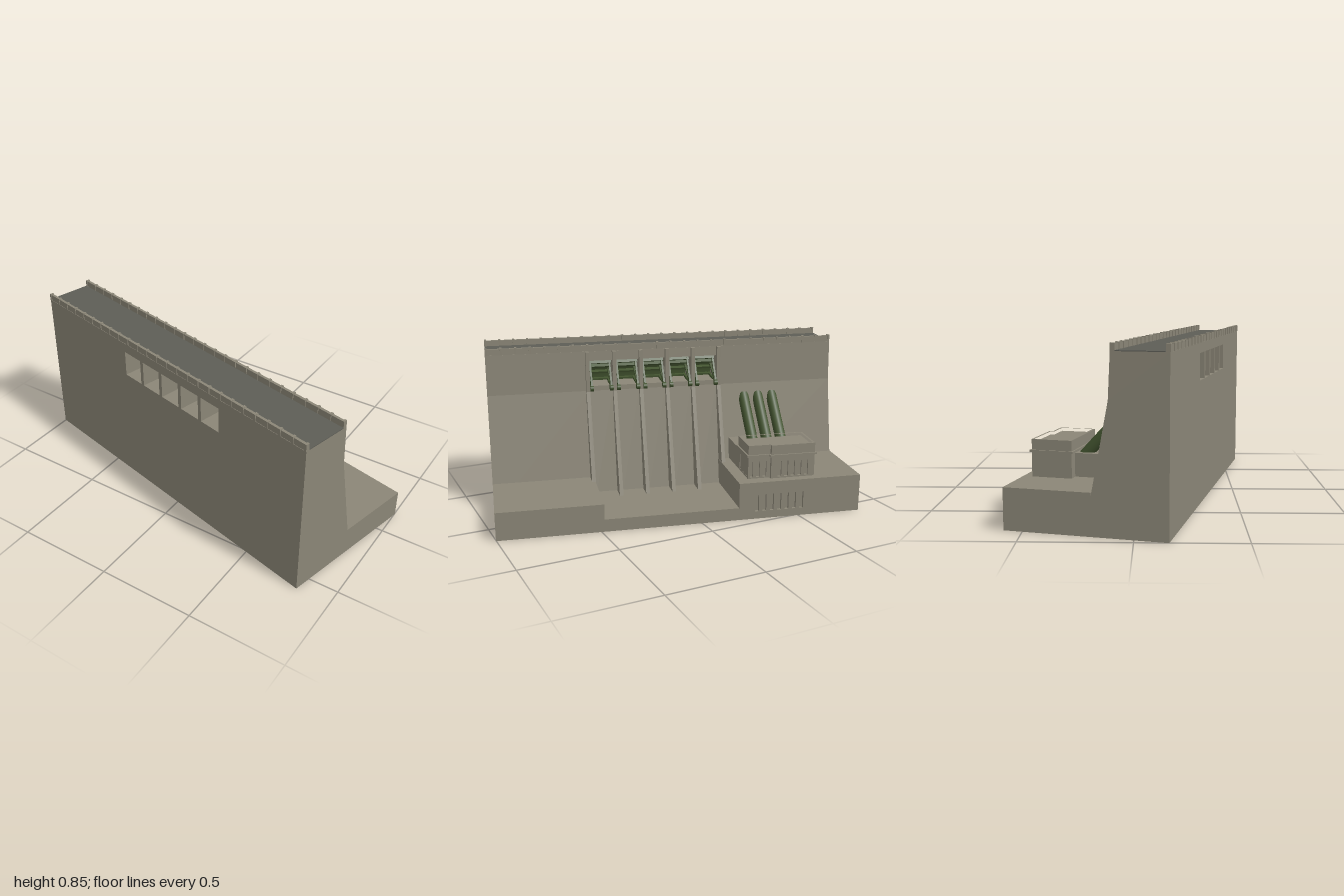
import * as THREE from 'three';

const mat = (name, color) => Object.assign(new THREE.MeshStandardMaterial({ color }), { name });

export function createModel() {
  const concrete = mat('concrete', 0x8b8677);
  const asphalt = mat('asphalt', 0x5d5d56);
  const green = mat('greenSteel', 0x42532f);
  const greenOpen = mat('greenSteelPlate', 0x42532f);
  greenOpen.side = THREE.DoubleSide;

  const root = new THREE.Group();
  root.name = 'dam';
  const body = new THREE.Group();
  body.name = 'damAssembly';
  body.rotation.y = -0.2334; // the dam stands askew to the axes
  root.add(body);

  const add = (name, geo, m = concrete) => {
    const mesh = new THREE.Mesh(geo, m);
    mesh.name = name;
    body.add(mesh);
    return mesh;
  };
  // box given by its limits
  const box = (name, x0, x1, y0, y1, z0, z1, m) => {
    const g = new THREE.BoxGeometry(x1 - x0, y1 - y0, z1 - z0);
    g.translate((x0 + x1) / 2, (y0 + y1) / 2, (z0 + z1) / 2);
    return add(name, g, m);
  };
  const shapeOf = (pts, holes = []) => {
    const s = new THREE.Shape(pts.map(p => new THREE.Vector2(...p)));
    s.holes = holes.map(h => new THREE.Path(h.map(p => new THREE.Vector2(...p))));
    return s;
  };
  const extrude = (shape, depth) => new THREE.ExtrudeGeometry(shape, { depth, bevelEnabled: false });
  const rect = (a, b, y0, y1) => [[a, y0], [b, y0], [b, y1], [a, y1]];
  const flip = pts => pts.map(([a, b]) => [-a, b]);
  // (z, y) section swept along x
  const sweepX = (name, pts, x0, x1, m, holes = []) => {
    const g = extrude(shapeOf(flip(pts), holes.map(flip)), x1 - x0);
    g.rotateY(Math.PI / 2).translate(x0, 0, 0);
    return add(name, g, m);
  };
  // (x, y) wall with openings, swept along z
  const sweepZ = (name, pts, z0, z1, holes) =>
    add(name, extrude(shapeOf(pts, holes), z1 - z0).translate(0, 0, z0));
  // (x, z) plan raised along y
  const raise = (name, plan, y0, y1, hole) => {
    const f = pts => pts.map(([x, z]) => [x, -z]);
    const g = extrude(shapeOf(f(plan), hole ? [f(hole)] : []), y1 - y0);
    return add(name, g.rotateX(-Math.PI / 2).translate(0, y0, 0));
  };

  const L = 0.94, W = 0.38, CREST = 0.81;
  const pitch = 0.1426, first = -0.297, half = 0.061;

  // Dam wall: full sections with pierced sections between them
  const wall = [[W, 0], [W, CREST], [0.12, CREST], [0.11, 0.6], [-0.004, 0]];
  const sill = [[W, 0], [W, 0.625], [0.111, 0.625], [0.11, 0.6], [-0.004, 0]];
  const lintel = [[W, 0.76], [W, CREST], [0.12, CREST], [0.1176, 0.76]];
  let x = -L;
  for (let i = 0; i < 5; i++) {
    const c = first + pitch * (i + 0.5);
    sweepX('damWall', wall, x, c - half);
    sweepX('spillwaySill', sill, c - half, c + half);
    sweepX('spillwayLintel', lintel, c - half, c + half);
    x = c + half;
  }
  sweepX('damWall', wall, x, L);

  // Ground slabs behind the wall
  box('sideApron', 0.408, L, 0, 0.145, -W, 0.03);
  box('stillingBasin', -0.285, 0.408, 0, 0.065, -W, 0.01);
  box('powerhouseBase', -L, -0.285, 0, 0.197, -W + 0.015, 0.03);
  const outlets = [];
  for (let i = 0; i < 7; i++) outlets.push(rect(-0.63 + i * 0.04, -0.61 + i * 0.04, 0.04, 0.13));
  sweepZ('outletWall', rect(-L, -0.285, 0, 0.197), -W, -W + 0.015, outlets);

  // Road, parapets and their posts
  box('road', -L, L, CREST, 0.814, 0.14, 0.358, asphalt);
  for (const [z0, z1] of [[0.122, 0.136], [0.364, 0.378]]) {
    box('parapet', -L, L, CREST, 0.842, z0, z1);
    for (let i = 0; i <= 25; i++) {
      const c = -0.934 + i * (1.868 / 25);
      box('parapetPost', c - 0.006, c + 0.006, CREST, 0.846, z0 - 0.002, z1 + 0.004);
    }
  }

  // Spillway piers
  const pier = [[0.13, CREST], [0.095, CREST], [0.088, 0.6], [-0.08, 0.06], [0.02, 0.06], [0.115, 0.6]];
  for (let i = 0; i < 6; i++) {
    const c = first + pitch * i;
    sweepX('pier', pier, c - 0.01, c + 0.01);
  }

  // Radial gates: curved skin, radial arms and hinges beside the piers
  const R = 0.157, hy = 0.622, hz = 0.083, sweep = 1.1;
  for (let i = 0; i < 5; i++) {
    const c = first + pitch * (i + 0.5);
    const skin = new THREE.CylinderGeometry(R, R, 2 * half, 16, 1, true, 0, sweep);
    skin.rotateZ(Math.PI / 2).rotateX(Math.PI);
    skin.computeBoundingBox();
    // rebuild the arc by rule so that it rises from the sill
    const p = skin.attributes.position;
    for (let k = 0; k < p.count; k++) {
      const a = ((k % 17) / 16) * sweep;
      p.setXYZ(k, k < 17 ? -half : half, R * Math.sin(a) + 0.004, R * Math.cos(a));
    }
    skin.computeVertexNormals();
    add('gateSkin', skin, greenOpen).position.set(c, hy, hz);
    for (const s of [-1, 1]) {
      const hinge = new THREE.CylinderGeometry(0.015, 0.015, 0.018, 12).rotateZ(Math.PI / 2);
      add('gateHinge', hinge, green).position.set(c + s * 0.052, hy - 0.004, hz);
      for (const a of [0.1, 0.55, 1.0]) {
        const arm = new THREE.BoxGeometry(0.01, 0.012, R).translate(0, 0, R / 2).rotateX(-a);
        add('gateArm', arm, green).position.set(c + s * 0.052, hy, hz);
      }
    }
    // cross ribs behind the skin
    for (const a of [0.1, 0.4, 0.7, 1.0]) {
      const rib = new THREE.BoxGeometry(2 * half, 0.01, 0.02).translate(0, 0, R - 0.012).rotateX(-a);
      add('gateRib', rib, green).position.set(c, hy, hz);
    }
  }

  // Penstocks running from the wall into their anchor block
  box('anchorBlock', -0.652, -0.347, 0.19, 0.31, -0.14, 0.05);
  const top = new THREE.Vector3(0, 0.535, 0.118), low = new THREE.Vector3(0, 0.29, -0.108);
  const dir = low.clone().sub(top);
  for (const px of [-0.605, -0.525, -0.445]) {
    const pipe = add('penstock', new THREE.CylinderGeometry(0.029, 0.029, dir.length(), 16), green);
    pipe.position.copy(top).add(low).multiplyScalar(0.5).setX(px);
    pipe.quaternion.setFromUnitVectors(new THREE.Vector3(0, 1, 0), dir.clone().normalize());
  }

  // Powerhouse: stepped plan, d offsets it outwards
  const plan = d => [
    [-0.7 - d, -0.335 - d], [-0.465 + d, -0.335 - d], [-0.465 + d, -0.318 - d],
    [-0.347 + d, -0.318 - d], [-0.347 + d, -0.139 + d], [-0.7 - d, -0.139 + d],
  ];
  raise('powerhouseCore', plan(-0.01), 0.19, 0.36);
  raise('powerhouseCornice', plan(0.008), 0.315, 0.325, plan(-0.012));
  raise('powerhouseParapet', plan(0), 0.325, 0.375, plan(-0.01));
  const backWindows = (x0, n) => Array.from({ length: n }, (_, i) =>
    rect(x0 + i * 0.036, x0 + i * 0.036 + 0.02, 0.205, 0.287));
  sweepZ('powerhouseBackWall', rect(-0.7, -0.465, 0.197, 0.316), -0.335, -0.325, backWindows(-0.665, 5));
  sweepZ('powerhouseBackWall', rect(-0.465, -0.347, 0.197, 0.316), -0.318, -0.308, backWindows(-0.445, 3));
  box('powerhouseStep', -0.475, -0.465, 0.197, 0.316, -0.326, -0.308);
  box('powerhouseFrontWall', -0.7, -0.347, 0.197, 0.316, -0.149, -0.139);
  const sideWindows = [-0.18, -0.234, -0.288].map(z => rect(z - 0.01, z + 0.01, 0.205, 0.287));
  sweepX('powerhouseLeftWall', rect(-0.318, -0.139, 0.197, 0.316), -0.357, -0.347, concrete, sideWindows);
  sweepX('powerhouseRightWall', rect(-0.335, -0.139, 0.197, 0.316), -0.7, -0.69, concrete, sideWindows);

  return root;
}
